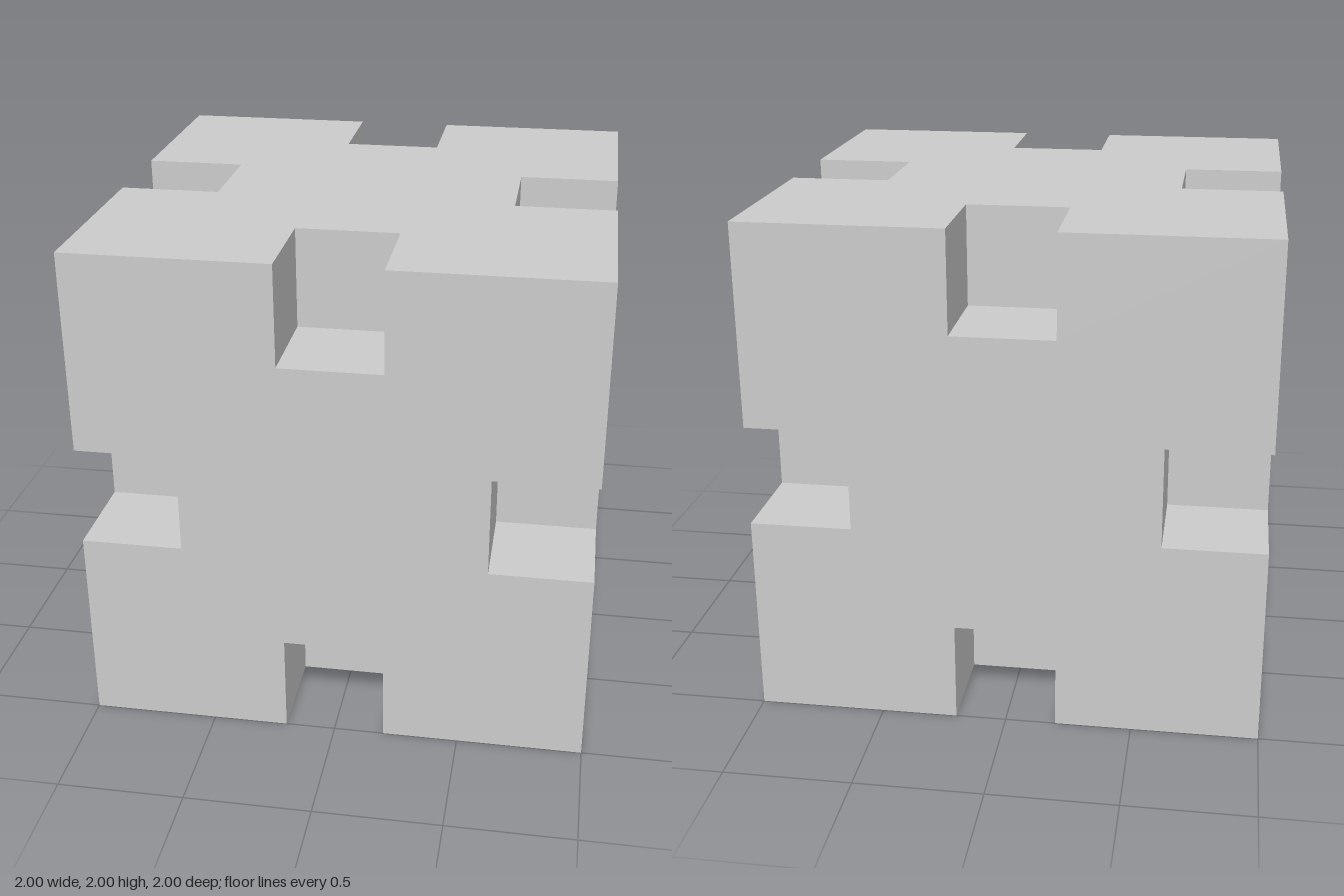
import * as THREE from 'three';
import { mergeGeometries } from 'three/addons/utils/BufferGeometryUtils.js';

const HALF = 1;       // half the cube's side
const N = 0.4;        // side of each cubic notch
const MID = HALF - N / 2; // distance from the axis to a notch centre

// Square outline with a notch in the middle of each edge
function notchedSquare() {
  const side = [[-HALF, -HALF], [-N / 2, -HALF], [-N / 2, N - HALF], [N / 2, N - HALF], [N / 2, -HALF]];
  const points = [];
  for (let k = 0; k < 4; k++) {
    for (const [x, y] of side) {
      points.push(new THREE.Vector2(x, y).rotateAround(new THREE.Vector2(), k * Math.PI / 2));
    }
  }
  return new THREE.Shape(points);
}

// All notch walls that look towards +z
function notchWalls() {
  const wall = (x, y, z) => new THREE.PlaneGeometry(N, N).translate(x, y, z);
  const walls = [];
  for (const s of [-1, 1]) {
    // floors of the notches around this face
    walls.push(wall(s * MID, 0, HALF - N), wall(0, s * MID, HALF - N));
    // end walls of the notches in the four edges running along z
    for (const t of [-1, 1]) walls.push(wall(s * MID, t * MID, -N / 2));
  }
  return mergeGeometries(walls);
}

export function createModel() {
  const model = new THREE.Group();
  model.name = 'notchedCube';
  const material = new THREE.MeshStandardMaterial({ color: 0xcccccc, flatShading: true });
  const faceGeometry = new THREE.ShapeGeometry(notchedSquare()).translate(0, 0, HALF);
  const wallGeometry = notchWalls();

  // The same face and walls, turned to each of the six directions
  const q = Math.PI / 2;
  const sides = {
    front: [0, 0], left: [0, q], back: [0, 2 * q], right: [0, -q], top: [-q, 0], bottom: [q, 0],
  };
  for (const [name, [rx, ry]] of Object.entries(sides)) {
    const side = new THREE.Group();
    side.name = name + 'Side';
    const face = new THREE.Mesh(faceGeometry, material);
    face.name = name + 'Face';
    const walls = new THREE.Mesh(wallGeometry, material);
    walls.name = name + 'NotchWalls';
    side.add(face, walls);
    side.rotation.set(rx, ry, 0);
    side.position.y = HALF;
    model.add(side);
  }
  return model;
}
